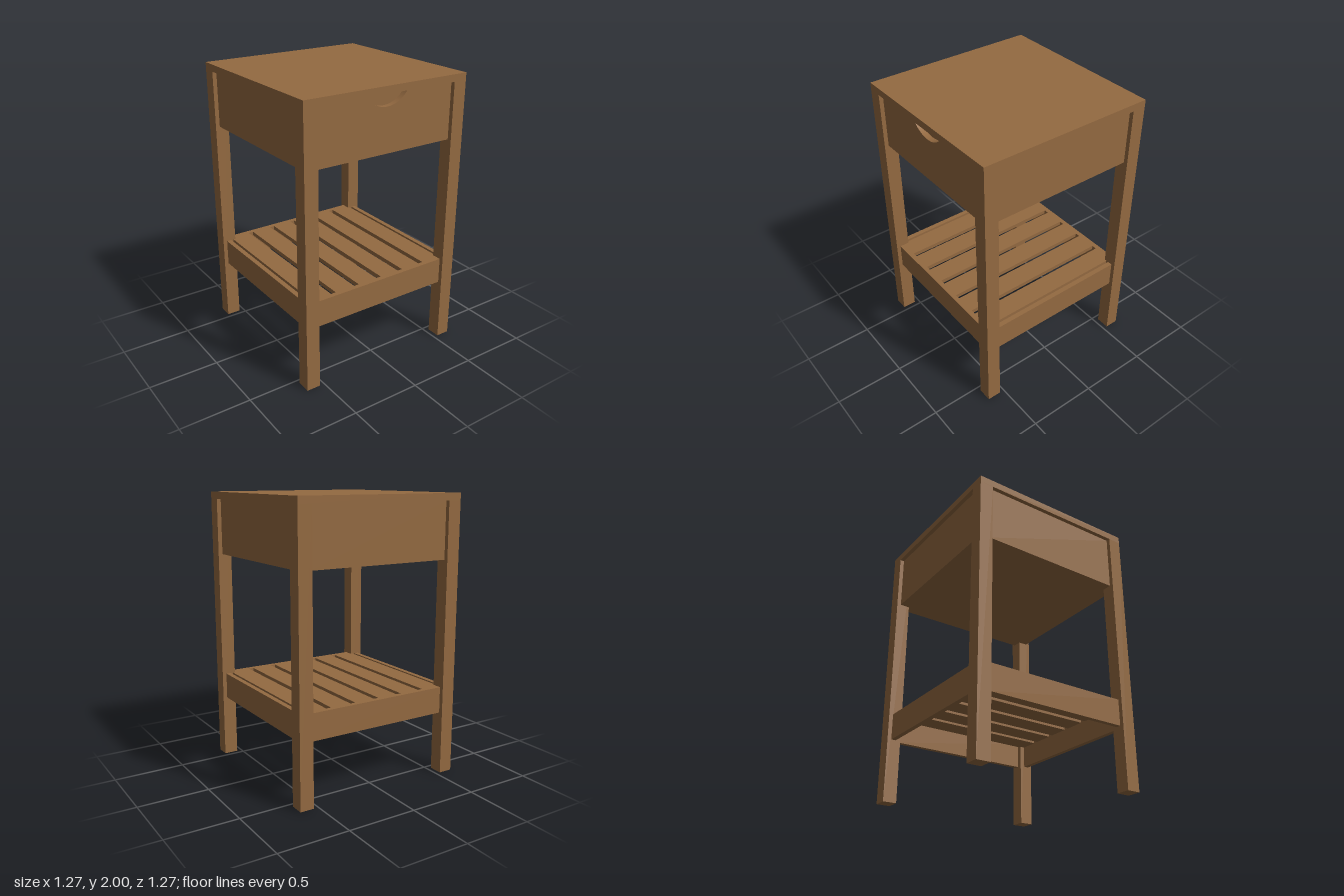
import * as THREE from 'three';

const HALF = 0.635;     // half width of the table
const LEG = 0.1;        // leg thickness
const INNER = HALF - LEG;
const FACE = 0.605;     // recessed face of panels and rails

export function createModel() {
  const group = new THREE.Group();
  const wood = new THREE.MeshStandardMaterial({ color: 0x946a41 });
  wood.name = 'wood';

  const add = (name, geometry, parent = group) => {
    const mesh = new THREE.Mesh(geometry, wood);
    mesh.name = name;
    parent.add(mesh);
    return mesh;
  };
  // box given by its minimum and maximum corners
  const box = (name, [x0, y0, z0], [x1, y1, z1]) => {
    const mesh = add(name, new THREE.BoxGeometry(x1 - x0, y1 - y0, z1 - z0));
    mesh.position.set((x0 + x1) / 2, (y0 + y1) / 2, (z0 + z1) / 2);
    return mesh;
  };

  // table top
  box('tableTop', [-HALF, 1.95, -HALF], [HALF, 2, HALF]);

  // four square legs
  for (const [sx, side] of [[1, 'Left'], [-1, 'Right']]) {
    for (const [sz, end] of [[1, 'front'], [-1, 'back']]) {
      const leg = add(`${end}${side}Leg`, new THREE.BoxGeometry(LEG, 1.95, LEG));
      leg.position.set(sx * (HALF - LEG / 2), 0.975, sz * (HALF - LEG / 2));
    }
  }

  // drawer case behind the panels
  const PANEL = 0.04;
  const core = FACE - PANEL;
  box('drawerCase', [-core, 1.55, -core], [core, 1.95, core]);

  // drawer front with a curved finger notch in its top edge
  const notchRadius = 0.196, notchHalf = 0.165;
  const notchY = 1.86 + notchRadius;
  const a = Math.asin(notchHalf / notchRadius);
  const front = new THREE.Shape();
  front.moveTo(-INNER, 1.55);
  front.lineTo(INNER, 1.55);
  front.lineTo(INNER, 1.95);
  front.lineTo(notchHalf, 1.95);
  front.absarc(0, notchY, notchRadius, -Math.PI / 2 + a, -Math.PI / 2 - a, true);
  front.lineTo(-INNER, 1.95);
  front.closePath();
  const drawer = add('drawerFront', new THREE.ExtrudeGeometry(front,
    { depth: PANEL, bevelEnabled: false, curveSegments: 24 }));
  drawer.position.z = core;

  // back and side panels
  box('backPanel', [-INNER, 1.55, -FACE], [INNER, 1.95, -core]);
  box('leftPanel', [core, 1.55, -INNER], [FACE, 1.95, INNER]);
  box('rightPanel', [-FACE, 1.55, -INNER], [-core, 1.95, INNER]);

  // shelf rails between the legs
  const railIn = 0.57, y0 = 0.45, y1 = 0.64;
  box('frontRail', [-INNER, y0, railIn], [INNER, y1, FACE]);
  box('backRail', [-INNER, y0, -FACE], [INNER, y1, -railIn]);
  box('leftRail', [railIn, y0, -INNER], [FACE, y1, INNER]);
  box('rightRail', [-FACE, y0, -INNER], [-railIn, y1, INNER]);

  // six shelf slats running front to back
  const pitch = 0.19, slatWidth = 0.152;
  for (let i = 0; i < 6; i++) {
    const x = (i - 2.5) * pitch;
    box('shelfSlat', [x - slatWidth / 2, y1 - 0.03, -railIn], [x + slatWidth / 2, y1, railIn]);
  }

  return group;
}
